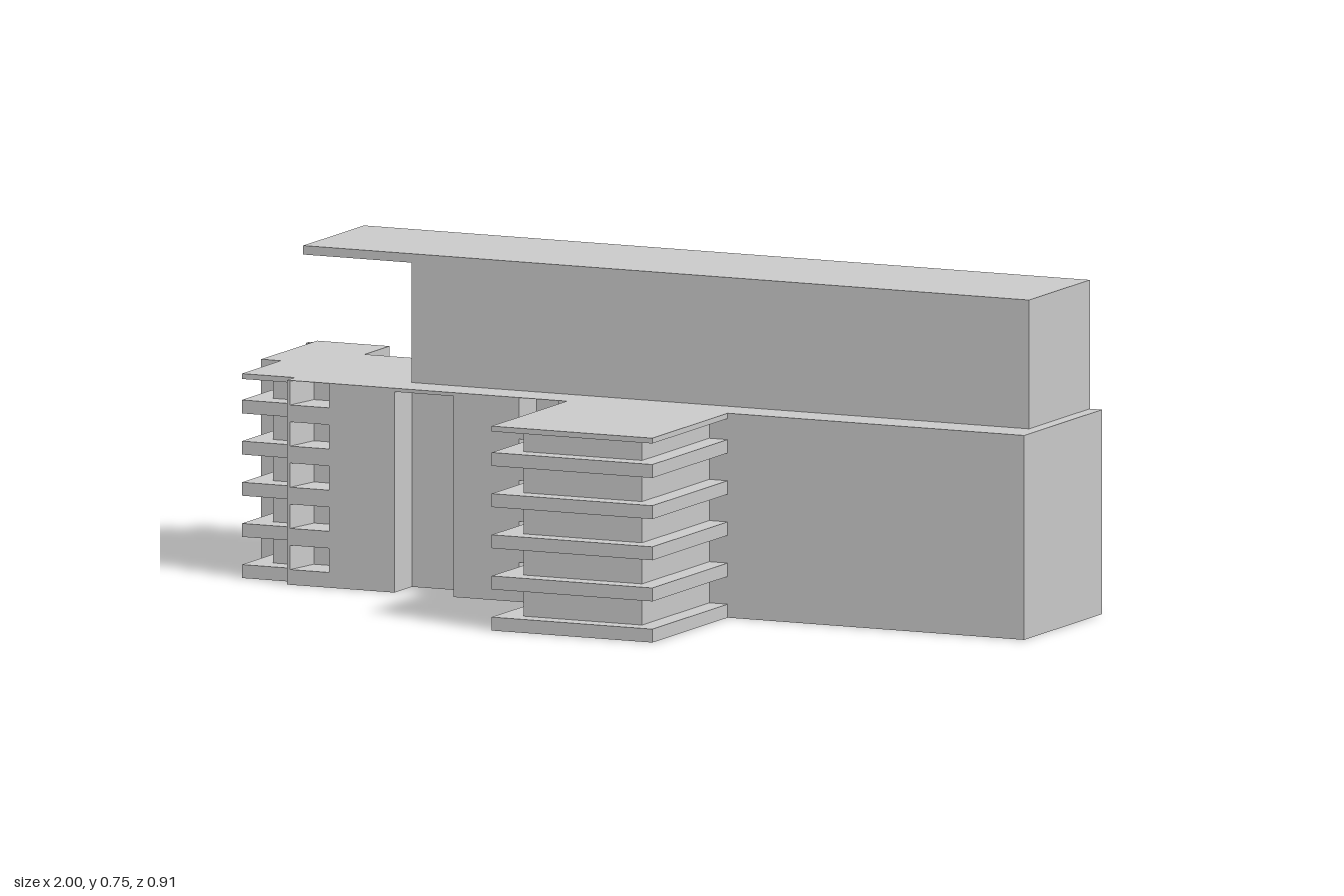
import * as THREE from 'three';

const H = 0.457;
const LEVELS = [0, 0.092, 0.184, 0.276, 0.368]; // underside of each floor slab
const SLAB = 0.03;
const GAP = 0.062; // opening between slabs

export function createModel() {
  const model = new THREE.Group();
  const material = new THREE.MeshStandardMaterial({ color: 0xcccccc, flatShading: true });

  const add = (name, geometry) => {
    const mesh = new THREE.Mesh(geometry, material);
    mesh.name = name;
    model.add(mesh);
    return mesh;
  };
  // box given by its limits on each axis
  const box = (name, x0, x1, y0, y1, z0, z1) => {
    const g = new THREE.BoxGeometry(x1 - x0, y1 - y0, z1 - z0);
    g.translate((x0 + x1) / 2, (y0 + y1) / 2, (z0 + z1) / 2);
    return add(name, g);
  };
  // stack of floor slabs with a thin roof
  const slabs = (name, x0, x1, z0, z1) => {
    for (const y of LEVELS) box(name + 'Floor', x0, x1, y, y + SLAB, z0, z1);
    box(name + 'Roof', x0, x1, H - 0.012, H, z0, z1);
  };

  // main block, with a front wall layer pierced by windows
  const wallBack = -0.02;
  const wallFront = 0.07;
  box('mainBlock', -0.803, 1, 0, H, -0.33, wallBack);
  const wall = (name, x0, x1, w0, w1) => {
    const shape = new THREE.Shape([
      new THREE.Vector2(x0, 0), new THREE.Vector2(x1, 0),
      new THREE.Vector2(x1, H), new THREE.Vector2(x0, H),
    ]);
    for (const y of LEVELS) {
      const a = y + SLAB + 0.004, b = y + SLAB + GAP - 0.014 + 0.01;
      shape.holes.push(new THREE.Path([
        new THREE.Vector2(w0, a), new THREE.Vector2(w0, b),
        new THREE.Vector2(w1, b), new THREE.Vector2(w1, a),
      ]));
    }
    const g = new THREE.ExtrudeGeometry(shape, { depth: wallFront - wallBack, bevelEnabled: false });
    g.translate(0, 0, wallBack);
    add(name, g);
  };
  wall('frontWallLeftEnd', -0.803, -0.54, -0.795, -0.7);
  wall('frontWallCentre', -0.395, -0.1, -0.235, -0.14);
  box('frontWallLong', -0.1, 1, 0, H, wallBack, wallFront);
  box('stairBayRoof', -0.54, -0.395, H - 0.008, H, wallBack, wallFront);

  // slanted window jambs on the outer side of each window
  const jamb = (x, inner, y) => {
    const shape = new THREE.Shape([
      new THREE.Vector2(x, -wallFront), new THREE.Vector2(inner, -wallBack), new THREE.Vector2(x, -wallBack),
    ]);
    const g = new THREE.ExtrudeGeometry(shape, { depth: GAP - 0.008, bevelEnabled: false });
    g.rotateX(-Math.PI / 2);
    g.translate(0, y + SLAB + 0.004, 0);
    add('windowJamb', g);
  };
  for (const y of LEVELS) {
    jamb(-0.795, -0.78, y);
    jamb(-0.14, -0.155, y);
  }

  // upper storey and its overhanging roof
  box('upperStorey', -0.54, 0.97, H, 0.745, -0.33, -0.018);
  box('roofOverhang', -0.805, -0.54, 0.725, 0.745, -0.33, -0.018);

  // front wing: enclosed core ringed by balcony slabs
  box('wingCore', -0.06, 0.23, 0, H - 0.005, wallFront, 0.415);
  slabs('wing', -0.118, 0.275, wallFront, 0.457);

  // end balconies around the front corner
  box('endCore', -0.88, -0.803, 0, H - 0.005, -0.17, -0.02);
  slabs('endBalcony', -0.932, -0.803, -0.17, 0.03);

  // rear end block with loggias facing outwards
  box('rearEndCore', -0.9, -0.803, 0, H - 0.005, -0.455, -0.17);
  slabs('loggia', -0.98, -0.9, -0.44, -0.185);
  box('loggiaFrontWall', -0.98, -0.9, 0, H, -0.185, -0.17);
  box('loggiaRearWall', -0.98, -0.803, 0, H, -0.457, -0.44);
  box('rearEndRoof', -0.9, -0.803, H - 0.012, H, -0.44, -0.17);
  for (const y of LEVELS)
    box('loggiaFin', -1, -0.98, y + SLAB, y + SLAB + 0.055, -0.457, -0.442);

  return model;
}
